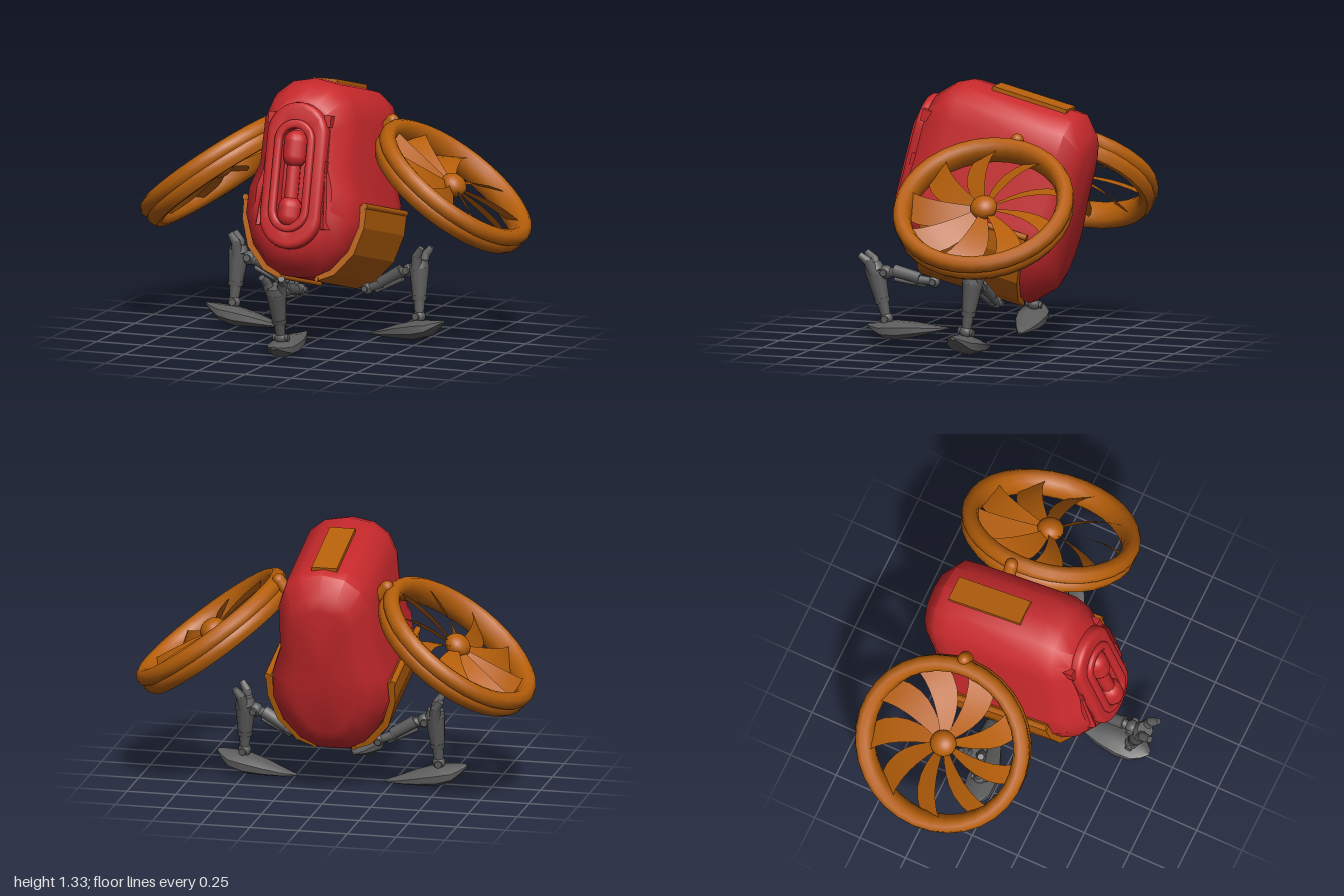
import * as THREE from 'three';
import { toCreasedNormals } from 'three/addons/utils/BufferGeometryUtils.js';

const V = (x, y, z) => new THREE.Vector3(x, y, z);

export function createModel() {
  const mat = (name, color, side = THREE.FrontSide) => {
    const m = new THREE.MeshStandardMaterial({ color, side });
    m.name = name;
    return m;
  };
  const red = mat('red shell', 0xc8292c);
  const orange = mat('orange trim', 0xb65f0a, THREE.DoubleSide);
  const gray = mat('dark gray metal', 0x5c5c5c);

  const add = (parent, name, geo, material, x = 0, y = 0, z = 0) => {
    const m = new THREE.Mesh(geo, material);
    m.name = name;
    m.position.set(x, y, z);
    parent.add(m);
    return m;
  };
  const group = (parent, name) => {
    const g = new THREE.Group();
    g.name = name;
    parent.add(g);
    return g;
  };

  // Skin over closed rings, with both ends capped
  const loft = (rings, crease) => {
    const pos = [], idx = [], n = rings[0].length;
    rings.forEach(r => r.forEach(p => pos.push(p.x, p.y, p.z)));
    for (let i = 0; i < rings.length - 1; i++) for (let j = 0; j < n; j++) {
      const a = i * n + j, b = i * n + (j + 1) % n;
      idx.push(a, b, b + n, a, b + n, a + n);
    }
    [0, rings.length - 1].forEach((i, end) => {
      const c = rings[i].reduce((s, p) => s.add(p), V(0, 0, 0)).divideScalar(n);
      const ci = pos.length / 3;
      pos.push(c.x, c.y, c.z);
      for (let j = 0; j < n; j++) {
        const a = i * n + j, b = i * n + (j + 1) % n;
        end ? idx.push(ci, a, b) : idx.push(ci, b, a);
      }
    });
    const g = new THREE.BufferGeometry();
    g.setAttribute('position', new THREE.Float32BufferAttribute(pos, 3));
    g.setIndex(idx);
    return toCreasedNormals(g, crease);
  };

  // Tapered round bar between two points
  const rod = (parent, name, a, b, ra, rb, material, sides = 10) => {
    const d = b.clone().sub(a);
    const m = add(parent, name, new THREE.CylinderGeometry(rb, ra, d.length(), sides), material);
    m.position.copy(a).addScaledVector(d, 0.5);
    m.quaternion.setFromUnitVectors(V(0, 1, 0), d.normalize());
  };

  // Upright stadium outline, and a frame with a stadium hole
  const stadium = (w, y0, y1, Type = THREE.Shape) => {
    const s = new Type();
    s.absarc(0, y1 - w, w, 0, Math.PI, false);
    s.absarc(0, y0 + w, w, Math.PI, Math.PI * 2, false);
    s.closePath();
    return s;
  };
  const frame = (w, y0, y1, hw, h0, h1, depth, bevel) => {
    const s = stadium(w, y0, y1);
    s.holes.push(stadium(hw, h0, h1, THREE.Path));
    return toCreasedNormals(new THREE.ExtrudeGeometry(s, {
      depth, bevelSize: bevel, bevelThickness: bevel, bevelSegments: 3, curveSegments: 8 }), 0.6);
  };

  const model = new THREE.Group();
  model.name = 'rotorWalker';

  // Pod: one cross-section lofted front to back, nose tipped up
  const pod = group(model, 'pod');
  pod.position.y = 0.78;
  pod.rotation.x = -0.25;
  const half = [[0.08, -0.475], [0.17, -0.43], [0.255, -0.33], [0.3, -0.2], [0.295, -0.06],
    [0.245, 0.08], [0.24, 0.32], [0.2, 0.43], [0.12, 0.495]];
  const outline = [[0, -0.48], ...half, [0, 0.518], ...half.slice().reverse().map(([x, y]) => [-x, y])];
  const stations = [[-0.498, 0.5, 0.7], [-0.475, 0.72, 0.82], [-0.39, 0.97, 0.995], [-0.3, 1, 1],
    [0.19, 1, 1], [0.27, 0.92, 0.92], [0.345, 0.68, 0.77]];
  add(pod, 'podShell', loft(stations.map(([z, sx, sy]) =>
    outline.map(([x, y]) => V(x * sx, 0.02 + (y - 0.02) * sy, z))), 0.8), red);

  // Nose: layered frames with a recessed slot and two rounded lamps
  add(pod, 'noseFrame', frame(0.135, -0.325, 0.36, 0.09, -0.25, 0.28, 0.045, 0.025), red, 0, 0, 0.325);
  add(pod, 'slotRim', frame(0.095, -0.255, 0.285, 0.08, -0.235, 0.265, 0.012, 0.012), red, 0, 0, 0.392);
  for (const [y, len] of [[0.15, 0.07], [-0.165, 0.04]])
    add(pod, 'noseLamp', new THREE.CapsuleGeometry(0.06, len, 6, 14), red, 0, y, 0.382);
  add(pod, 'lampLink', new THREE.CapsuleGeometry(0.036, 0.2, 4, 10), red, 0, -0.01, 0.38);
  for (const s of [-1, 1]) {
    for (const y of [0.3, 0.07, -0.135])
      add(pod, 'noseTab', new THREE.BoxGeometry(0.035, 0.06, 0.05), red, s * 0.15, y, 0.34);
    const flap = add(pod, 'noseFlap', new THREE.BoxGeometry(0.02, 0.28, 0.08), red, s * 0.178, -0.1, 0.32);
    flap.rotation.set(0, -s * 0.45, s * 0.08);
  }

  // Roof plate
  add(pod, 'roofPlate', new THREE.BoxGeometry(0.13, 0.03, 0.405), orange, 0, 0.511, -0.132);

  // Side skirts wrapped round the lower pod
  const outer = [[0.33, -0.1], [0.327, -0.21], [0.285, -0.345], [0.19, -0.455], [0.1, -0.492]];
  const inner = [[0.09, -0.468], [0.17, -0.43], [0.255, -0.33], [0.298, -0.2], [0.295, -0.1]];
  for (const s of [-1, 1]) {
    const shape = new THREE.Shape([...outer, ...inner].map(([x, y]) => new THREE.Vector2(s * x, y)));
    add(pod, 'sideSkirt', new THREE.ExtrudeGeometry(shape, { depth: 0.55, bevelEnabled: false }),
      orange, 0, 0, -0.365);
    rod(pod, 'skirtRail', V(s * 0.32, -0.1, -0.37), V(s * 0.32, -0.1, 0.19), 0.016, 0.016, orange);
    rod(pod, 'skirtLowerRail', V(s * 0.1, -0.482, -0.37), V(s * 0.1, -0.482, 0.19), 0.011, 0.011, orange);
  }

  // Rotor blade: a widening, pitched and swept strip
  const bladeGeometry = s => {
    const g = new THREE.PlaneGeometry(1, 1, 6, 2), p = g.attributes.position;
    for (let i = 0; i < p.count; i++) {
      const t = p.getX(i) + 0.5, c = p.getY(i) * (0.045 + 0.105 * Math.sin(t * 1.8));
      const r = 0.045 + 0.345 * t, a = s * 0.28 * t * t, pitch = 0.62 - 0.1 * t;
      const z = c * Math.cos(pitch);
      p.setXYZ(i, r * Math.cos(a) - z * Math.sin(a), s * c * Math.sin(pitch),
        r * Math.sin(a) + z * Math.cos(a));
    }
    g.computeVertexNormals();
    return g;
  };
  // Thick rounded rim with a shallow groove round the outside
  const ringProfile = [[0.368, -0.01], [0.378, -0.05], [0.4, -0.072], [0.425, -0.072], [0.445, -0.045],
    [0.448, -0.018], [0.442, -0.006], [0.452, 0.004], [0.456, 0.03], [0.445, 0.056], [0.418, 0.07],
    [0.39, 0.06], [0.373, 0.03], [0.368, -0.01]].map(([r, y]) => new THREE.Vector2(r, y));

  for (const s of [-1, 1]) {
    const rotor = group(model, s > 0 ? 'leftRotor' : 'rightRotor');
    rotor.position.set(s * 0.622, 0.775, -0.217);
    rotor.rotation.set(-0.07, 0, -s * 0.645);
    add(rotor, 'rotorRing', toCreasedNormals(new THREE.LatheGeometry(ringProfile, 32), 0.9), orange);
    add(rotor, 'rotorHub', new THREE.SphereGeometry(0.068, 18, 12), orange, 0, 0.01, 0).scale.y = 0.8;
    const blade = bladeGeometry(s);
    for (let i = 0; i < 9; i++)
      add(rotor, 'rotorBlade', blade, orange).rotation.y = (i + 0.3) * Math.PI * 2 / 9;
    add(rotor, 'rotorMount', new THREE.CapsuleGeometry(0.033, 0.06, 5, 12), orange, -s * 0.458, 0.005, -0.03);
    rod(rotor, 'mountStub', V(-s * 0.45, -0.01, -0.03), V(-s * 0.53, -0.08, -0.03), 0.03, 0.03, orange);
  }

  // Foot: boat-shaped loft, origin at the ankle
  const footStations = [[-0.275, -0.1, -0.109, 0.01], [-0.2, -0.078, -0.115, 0.036], [-0.11, -0.047, -0.116, 0.062],
    [-0.01, -0.02, -0.115, 0.074], [0.065, -0.015, -0.093, 0.068], [0.11, -0.011, -0.055, 0.044],
    [0.14, -0.01, -0.025, 0.014]];
  const footGeo = loft(footStations.map(([x, top, bot, w]) => Array.from({ length: 8 }, (_, k) => {
    const a = (k + 0.5) * Math.PI / 4;
    return V(x, (top + bot) / 2 + (top - bot) / 2 * Math.cos(a) * 1.08, w * Math.sin(a) * 1.08);
  })), 0.6);

  // Legs: local +x points away from the pod, origin at the hip
  const makeLeg = (name, hip, lean, yaw, tilt, footShift, footTurn) => {
    const leg = group(model, name);
    leg.position.copy(hip);
    leg.rotation.set(lean, yaw, -tilt);
    const ball = (part, r, x, y) => add(leg, part, new THREE.SphereGeometry(r, 12, 8), gray, x, y, 0);
    ball('hipBall', 0.03, 0, 0);
    rod(leg, 'hipPin', V(0, 0, -0.036), V(0, 0, 0.036), 0.016, 0.016, gray);
    rod(leg, 'hipLink', V(0, 0, 0), V(0.09, 0.035, 0), 0.02, 0.026, gray);
    rod(leg, 'upperArm', V(0.07, 0.035, 0), V(0.19, 0.105, 0), 0.03, 0.034, gray, 8);
    rod(leg, 'armPiston', V(0.05, -0.005, 0), V(0.2, 0.065, 0), 0.013, 0.013, gray);
    rod(leg, 'kneeLink', V(0.18, 0.1, 0), V(0.27, 0.1, 0), 0.024, 0.024, gray);
    ball('kneeBall', 0.036, 0.235, 0.11);
    rod(leg, 'kneePin', V(0.235, 0.11, -0.045), V(0.235, 0.11, 0.045), 0.018, 0.018, gray);
    // Shin widening into a short curved fork
    rod(leg, 'lowerShin', V(0.3, -0.1, 0), V(0.296, -0.01, 0), 0.024, 0.032, gray);
    rod(leg, 'shinCollar', V(0.297, -0.035, 0), V(0.296, -0.01, 0), 0.036, 0.04, gray);
    rod(leg, 'upperShin', V(0.296, -0.015, 0), V(0.288, 0.13, 0), 0.036, 0.052, gray);
    rod(leg, 'forkRoot', V(0.288, 0.13, 0), V(0.292, 0.17, 0), 0.052, 0.042, gray);
    for (const s of [-1, 1]) {
      rod(leg, 'forkBase', V(0.288, 0.12, s * 0.026), V(0.295, 0.195, s * 0.044), 0.03, 0.025, gray, 8);
      rod(leg, 'forkTip', V(0.294, 0.185, s * 0.043), V(0.325, 0.232, s * 0.053), 0.025, 0.017, gray, 8);
    }
    // Ankle and foot
    ball('ankleBall', 0.033, 0.3, -0.115);
    rod(leg, 'anklePin', V(0.3, -0.115, -0.04), V(0.3, -0.115, 0.04), 0.018, 0.018, gray);
    add(leg, 'foot', footGeo, gray, 0.3 + footShift, -0.115, 0).rotation.z = footTurn;
  };
  makeLeg('frontLeg', V(0, 0.295, 0.27), 0, -Math.PI / 2, 0.3, -0.035, 0.08);
  makeLeg('leftLeg', V(0.2, 0.24, -0.13), -0.12, -0.13, 0, 0, 0);
  makeLeg('rightLeg', V(-0.2, 0.24, -0.13), -0.12, Math.PI + 0.13, 0, 0, 0);

  return model;
}
